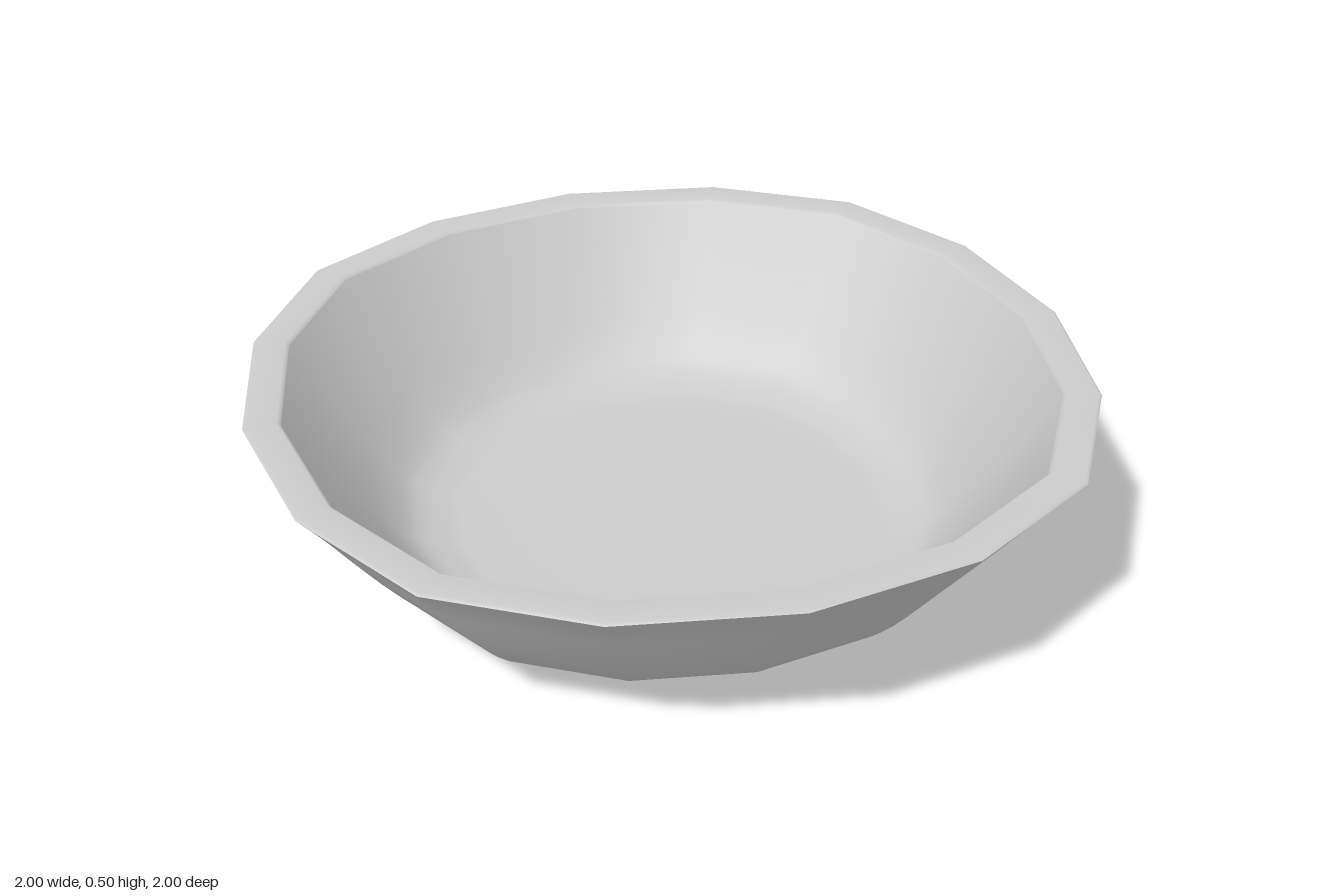
import * as THREE from 'three';

const SIDES = 16;
const material = new THREE.MeshStandardMaterial({ color: 0xcccccc });

// Revolve a profile, then push the diagonals out a little for a slightly squared circle
function turned(name, profile) {
  const points = profile.map(([r, y]) => new THREE.Vector2(r, y));
  const geometry = new THREE.LatheGeometry(points, SIDES);
  const pos = geometry.attributes.position;
  for (let i = 0; i < pos.count; i++) {
    const x = pos.getX(i), z = pos.getZ(i);
    const angle = Math.atan2(x, z), r = Math.hypot(x, z);
    const bulge = 1 + 0.035 * Math.abs(Math.sin(2 * angle)) ** 3;
    const turn = angle + 0.012 * Math.sin(4 * angle);
    pos.setX(i, Math.sin(turn) * r * bulge);
    pos.setZ(i, Math.cos(turn) * r * bulge);
  }
  const mesh = new THREE.Mesh(geometry, material);
  mesh.name = name;
  return mesh;
}

// Smooth a few profile points into a curve
function smooth(points, steps) {
  const curve = new THREE.SplineCurve(points.map(([x, y]) => new THREE.Vector2(x, y)));
  return curve.getPoints(steps).map((p) => [p.x, p.y]);
}

export function createModel() {
  const bowl = new THREE.Group();
  bowl.name = 'bowl';

  // Each part meets the next at a sharp edge
  bowl.add(
    turned('footRecess', [[0, 0.025], [0.34, 0.025]]),
    turned('footRecessWall', [[0.34, 0.025], [0.34, 0]]),
    turned('footBase', [[0.34, 0], [0.533, 0]]),
    turned('footEdge', [[0.533, 0], [0.533, 0.008], [0.512, 0.022], [0.515, 0.03]]),
    turned('outerWall', smooth([
      [0.515, 0.03], [0.59, 0.045], [0.68, 0.095], [0.77, 0.185], [0.865, 0.31], [0.94, 0.415], [1, 0.49],
    ], 16)),
    turned('rim', [[1, 0.49], [0.993, 0.495], [0.922, 0.495], [0.913, 0.487]]),
    turned('innerWall', [
      ...smooth([[0.913, 0.487], [0.84, 0.375], [0.76, 0.26], [0.69, 0.17], [0.62, 0.11], [0.52, 0.085]], 14),
      [0.35, 0.08], [0, 0.08],
    ]),
  );
  return bowl;
}
